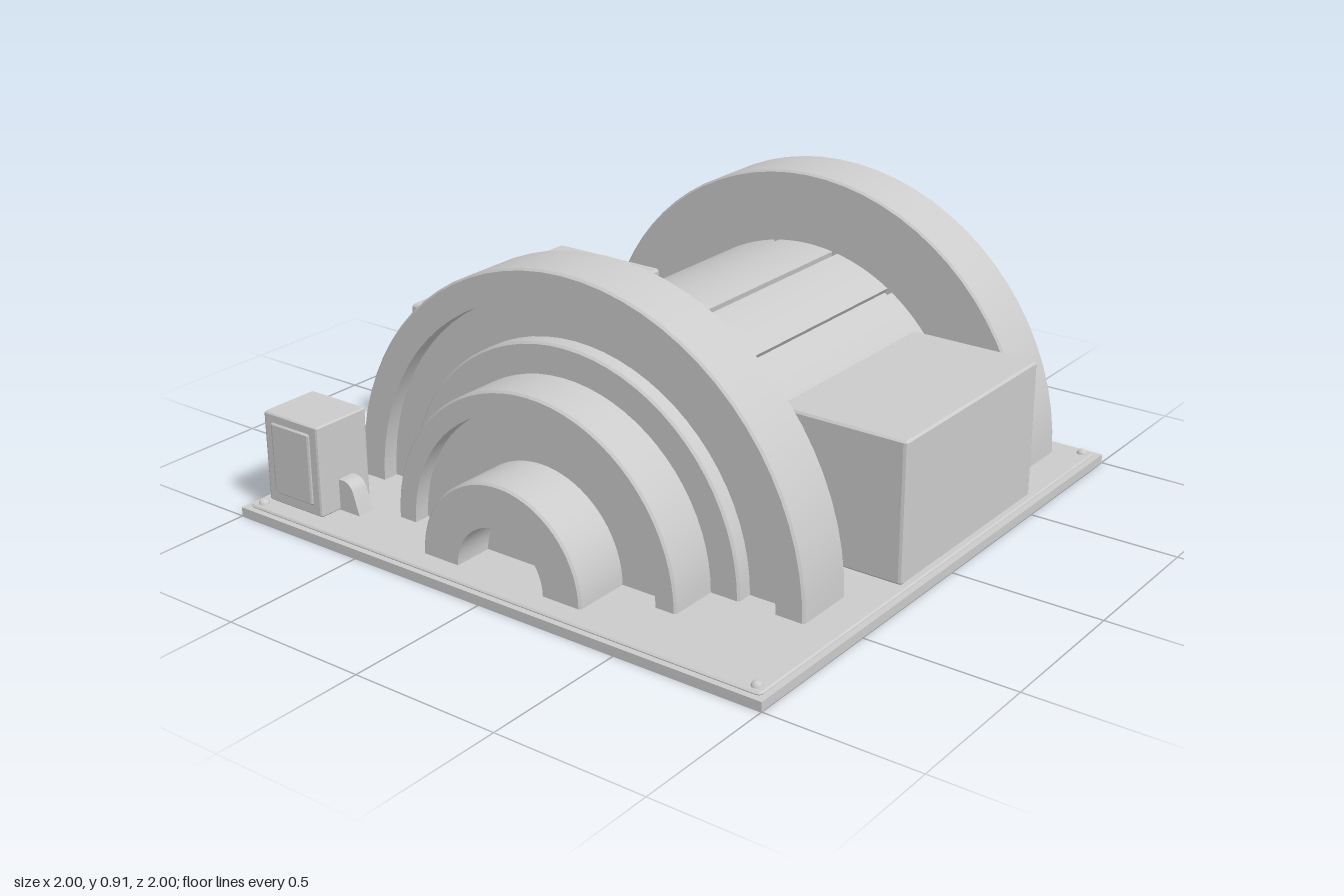
import * as THREE from 'three';
import { toCreasedNormals } from 'three/addons/utils/BufferGeometryUtils.js';

const FLOOR = 0.04;
const BEVEL = 0.007;

export function createModel() {
  const model = new THREE.Group();
  const grey = new THREE.MeshStandardMaterial({ color: 0xcccccc });

  function add(name, geometry, x = 0, y = 0, z = 0) {
    const mesh = new THREE.Mesh(toCreasedNormals(geometry, 0.3), grey);
    mesh.name = name;
    mesh.position.set(x, y, z);
    model.add(mesh);
    return mesh;
  }

  // Box given by its limits on each axis, with chamfered edges
  function box(name, [x0, x1], [y0, y1], [z0, z1], b = BEVEL, corner = b) {
    const w = (x1 - x0) / 2 - b;
    const d = (z1 - z0) / 2 - b;
    const shape = new THREE.Shape();
    shape.absarc(w - corner, d - corner, corner, 0, Math.PI / 2);
    shape.absarc(corner - w, d - corner, corner, Math.PI / 2, Math.PI);
    shape.absarc(corner - w, corner - d, corner, Math.PI, Math.PI * 1.5);
    shape.absarc(w - corner, corner - d, corner, Math.PI * 1.5, Math.PI * 2);
    shape.closePath();
    const geometry = new THREE.ExtrudeGeometry(shape, {
      depth: y1 - y0 - 2 * b, curveSegments: 1,
      bevelSize: b, bevelThickness: b, bevelSegments: 1,
    });
    geometry.rotateX(-Math.PI / 2);
    return add(name, geometry, (x0 + x1) / 2, y0 + b, (z0 + z1) / 2);
  }

  // Half drum on the floor, turned from [radius, z] points running back to front
  function drum(name, profile) {
    const points = profile.map(([r, z]) => new THREE.Vector2(r, z));
    const geometry = new THREE.LatheGeometry(points, 36, Math.PI / 2, Math.PI);
    geometry.rotateX(Math.PI / 2);
    return add(name, geometry, 0, FLOOR, 0);
  }

  // Outer wall of a drum with chamfered rims
  const wall = (r, z0, z1) => [
    [r - BEVEL, z0], [r, z0 + BEVEL], [r, z1 - BEVEL], [r - BEVEL, z1],
  ];

  // Square outline used for the base frame
  const square = (s) => [[-s, -s], [s, -s], [s, s], [-s, s]].map((p) => new THREE.Vector2(...p));

  // Base frame, hollow underneath, carrying the floor plate
  const frame = new THREE.Shape(square(1));
  frame.holes.push(new THREE.Path(square(0.975)));
  const frameGeometry = new THREE.ExtrudeGeometry(frame, { depth: 0.03, bevelEnabled: false });
  frameGeometry.rotateX(-Math.PI / 2);
  add('baseFrame', frameGeometry);
  box('floorPlate', [-0.982, 0.982], [0.028, FLOOR], [-0.982, 0.982], 0.005, 0.012);
  for (const x of [-0.95, 0.95]) {
    for (const z of [-0.95, 0.95]) {
      const dome = new THREE.SphereGeometry(0.018, 24, 6, 0, Math.PI * 2, 0, Math.PI / 2);
      add('cornerBolt', dome, x, FLOOR - 0.003, z);
    }
  }

  // Main barrel with lengthwise grooves
  const barrel = new THREE.Shape();
  const radius = 0.62;
  const half = 0.016;
  let start = 0;
  for (const degrees of [57, 79, 101, 123]) {
    const a = THREE.MathUtils.degToRad(degrees);
    barrel.absarc(0, 0, radius, start, a - half);
    barrel.lineTo((radius - 0.02) * Math.cos(a - half), (radius - 0.02) * Math.sin(a - half));
    barrel.lineTo((radius - 0.02) * Math.cos(a + half), (radius - 0.02) * Math.sin(a + half));
    start = a + half;
  }
  barrel.absarc(0, 0, radius, start, Math.PI);
  barrel.closePath();
  const barrelGeometry = new THREE.ExtrudeGeometry(barrel, {
    depth: 1.08, bevelEnabled: false, curveSegments: 10,
  });
  add('barrel', barrelGeometry, 0, FLOOR, -0.695);

  // End flanges, the front one with a recessed face and a raised collar
  drum('rearFlange', [[0, -0.905], ...wall(0.865, -0.905, -0.69), [0, -0.69]]);
  drum('frontFlange', [
    [0, 0.38], ...wall(0.865, 0.38, 0.595), [0.767, 0.595], [0.767, 0.54], [0, 0.54],
  ]);
  drum('frontCollar', [...wall(0.64, 0.53, 0.595), [0, 0.595]]);

  // Stepped front housing and nozzle, each with a recessed face
  drum('housing', [
    ...wall(0.54, 0.585, 0.765), [0.468, 0.765], [0.468, 0.71], [0, 0.71],
  ]);
  drum('nozzle', [
    ...wall(0.305, 0.7, 0.905), [0.165, 0.905], [0.165, 0.77], [0, 0.77],
  ]);

  // Side cabinets
  box('leftCabinet', [0.515, 0.965], [FLOOR, 0.5], [-0.553, 0.235]);
  box('rightCabinet', [-0.965, -0.515], [FLOOR, 0.5], [-0.553, 0.235]);

  // Control box with a front panel
  box('controlBox', [-0.957, -0.721], [FLOOR, 0.345], [0.707, 0.919], 0.005);
  box('controlPanel', [-0.925, -0.755], [0.075, 0.315], [0.9, 0.925], 0.005);

  // Curved conduit from the control box down to the floor
  const conduit = new THREE.Shape();
  conduit.moveTo(-0.73, FLOOR);
  conduit.lineTo(-0.638, FLOOR);
  conduit.lineTo(-0.662, 0.115);
  conduit.quadraticCurveTo(-0.675, 0.145, -0.705, 0.145);
  conduit.lineTo(-0.73, 0.145);
  conduit.closePath();
  const conduitGeometry = new THREE.ExtrudeGeometry(conduit, {
    depth: 0.06, bevelEnabled: false, curveSegments: 6,
  });
  add('conduit', conduitGeometry, 0, 0, 0.78);

  return model;
}
